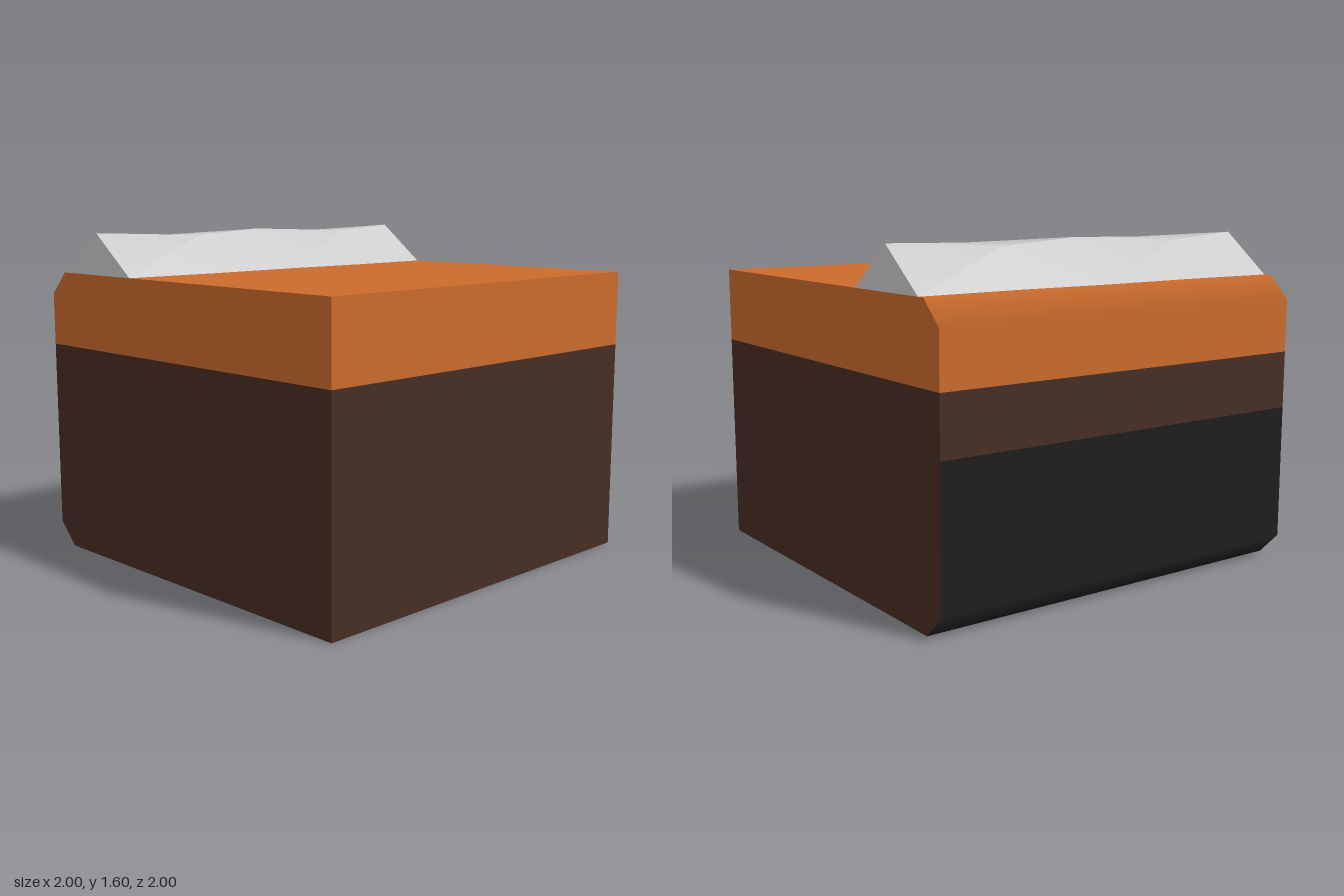
import * as THREE from 'three';

const paint = (name, color) => {
  const m = new THREE.MeshStandardMaterial({ color });
  m.name = name;
  return m;
};

// Sweeps an xy profile (counter-clockwise, with a normal per point) along z
function wall(name, material, pts, normals) {
  const pos = [], nor = [], idx = [];
  pts.forEach(([x, y], i) => {
    for (const z of [1, -1]) {
      pos.push(x, y, z);
      nor.push(...normals[i], 0);
    }
    if (i) {
      const a = 2 * i - 2;
      idx.push(a, a + 1, a + 2, a + 2, a + 1, a + 3);
    }
  });
  const g = new THREE.BufferGeometry();
  g.setAttribute('position', new THREE.Float32BufferAttribute(pos, 3));
  g.setAttribute('normal', new THREE.Float32BufferAttribute(nor, 3));
  g.setIndex(idx);
  const mesh = new THREE.Mesh(g, material);
  mesh.name = name;
  return mesh;
}

// Flat face at the front and its twin at the back
function ends(name, material, pts) {
  const group = new THREE.Group();
  group.name = name;
  const shape = new THREE.Shape(pts.map(([x, y]) => new THREE.Vector2(x, y)));
  const front = new THREE.ShapeGeometry(shape);
  const back = front.clone();
  const index = back.getIndex();
  for (let i = 0; i < index.count; i += 3) {
    const b = index.getX(i + 1);
    index.setX(i + 1, index.getX(i + 2));
    index.setX(i + 2, b);
  }
  back.computeVertexNormals();
  for (const [g, z] of [[front, 1], [back, -1]]) {
    g.translate(0, 0, z);
    const mesh = new THREE.Mesh(g, material);
    mesh.name = name + (z > 0 ? 'Front' : 'Back');
    group.add(mesh);
  }
  return group;
}

// Ridge cross-section points: at whole z steps (L, P, R) and half steps (L2, A, B, R2)
const L = [-0.85, 1.4], P = [-0.6, 1.6], R = [-0.34, 1.4];
const L2 = [-0.835, 1.4], A = [-0.72, 1.577], B = [-0.45, 1.583], R2 = [-0.325, 1.4];

// One twisting facet climbing from the left foot over to the right foot
const facet = [[L, L], [L2, A], [L, P], [A, B], [P, R], [B, R2], [R, R]];

function twistedFacet(startZ, material) {
  const pos = [], idx = [];
  facet.forEach(([l, r], k) => {
    const z = startZ + k / 2;
    if (z < -1 || z > 1) return;
    pos.push(...l, z, ...r, z);
    const n = pos.length / 3 - 4;
    if (n >= 0) idx.push(n, n + 2, n + 1, n + 1, n + 2, n + 3);
  });
  const g = new THREE.BufferGeometry();
  g.setAttribute('position', new THREE.Float32BufferAttribute(pos, 3));
  g.setIndex(idx);
  g.computeVertexNormals();
  const mesh = new THREE.Mesh(g, material);
  mesh.name = 'ridgeFacet';
  return mesh;
}

export function createModel() {
  const orange = paint('orange', 0xcb6b2c);
  const brown = paint('darkBrown', 0x472e23);
  const black = paint('black', 0x1e1e1e);
  const grey = paint('lightGrey', 0xcdcdcd);

  const model = new THREE.Group();
  model.name = 'groundBlock';
  const up = [0, 1], down = [0, -1], left = [1, 0], right = [-1, 0];

  // Orange top layer with a softly shaded bevel on one edge
  const topLayer = new THREE.Group();
  topLayer.name = 'topLayer';
  topLayer.add(
    wall('topSurface', orange, [[1, 1.4], [-0.89, 1.4], [-1, 1.29], [-1, 1.035]], [up, up, right, right]),
    wall('topLayerSide', orange, [[1, 1.035], [1, 1.4]], [left, left]),
    ends('topLayerEnds', orange, [[1, 1.035], [1, 1.4], [-0.89, 1.4], [-1, 1.29], [-1, 1.035]]),
  );

  // Dark soil, black underneath and low on the bevelled side
  const soil = new THREE.Group();
  soil.name = 'soil';
  soil.add(
    wall('soilSide', brown, [[1, 0], [1, 1.035]], [left, left]),
    wall('soilBand', brown, [[-1, 1.035], [-1, 0.76]], [right, right]),
    wall('underside', black, [[-1, 0.76], [-1, 0.11], [-0.89, 0], [1, 0]], [right, right, down, down]),
    ends('soilEnds', brown, [[1, 0], [1, 1.035], [-1, 1.035], [-1, 0.11], [-0.89, 0]]),
  );

  // Twisted ridge along the top
  const ridge = new THREE.Group();
  ridge.name = 'ridge';
  for (let z = -3; z < 1; z++) ridge.add(twistedFacet(z, grey));
  ridge.add(ends('ridgeEnds', grey, [L, R, P]));

  model.add(topLayer, soil, ridge);
  return model;
}
